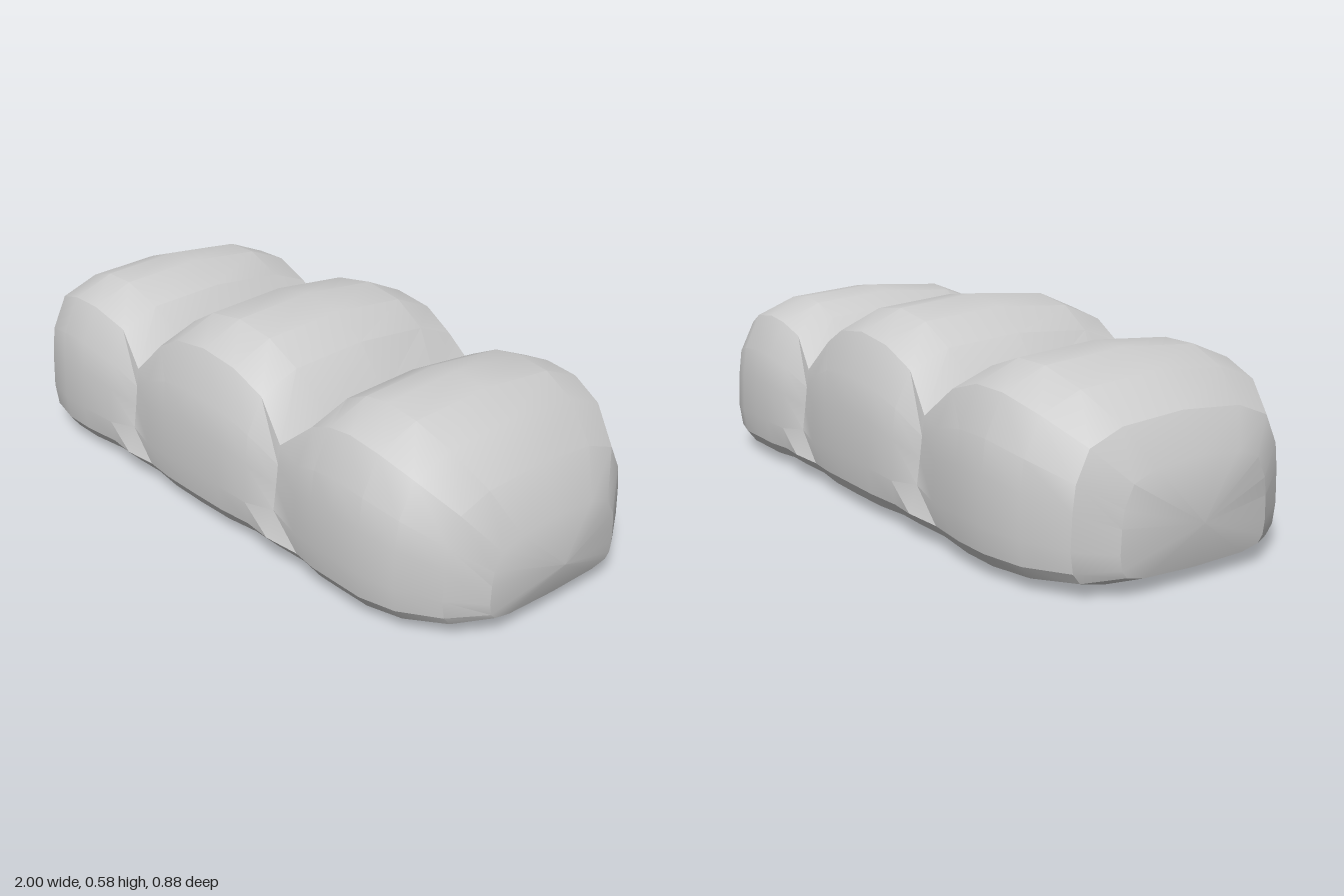
import * as THREE from 'three';
import { toCreasedNormals } from 'three/addons/utils/BufferGeometryUtils.js';

// Half profiles from top centre to bottom centre: [depth, height]
// Rounded-square lobe profile, as fractions of half depth and height
const LOBE = [[0, 1], [0.56, 0.965], [0.85, 0.87], [0.965, 0.67], [0.99, 0.5],
  [1, 0.27], [0.975, 0.13], [0.91, 0.06], [0.68, 0.017], [0, 0]];
// Groove between two lobes, in units, with a small tuft pushed out near the base
const GROOVE = [[0, 0.372], [0.2, 0.36], [0.375, 0.335], [0.383, 0.28], [0.39, 0.22],
  [0.4, 0.15], [0.425, 0.075], [0.385, 0.035], [0.29, 0.01], [0, 0]];

// Stations along the length: x, top, half depth, bottom
const groove = (x) => ({ x, profile: GROOVE });
const lobe = (x, top, depth, bottom = 0.005) => ({
  x, profile: LOBE.map(([z, y]) => [z * depth, bottom + y * (top - bottom)]),
});
const STATIONS = [
  lobe(-1, 0.16, 0, 0.16),
  lobe(-0.97, 0.32, 0.235, 0.04),
  lobe(-0.91, 0.42, 0.335, 0.018),
  lobe(-0.8, 0.495, 0.405),
  lobe(-0.68, 0.535, 0.433, 0),
  lobe(-0.57, 0.535, 0.434, 0),
  lobe(-0.44, 0.488, 0.418),
  groove(-0.335),
  lobe(-0.235, 0.5, 0.42),
  lobe(-0.13, 0.56, 0.434, 0),
  lobe(0, 0.58, 0.438, 0),
  lobe(0.13, 0.56, 0.434, 0),
  lobe(0.235, 0.5, 0.42),
  groove(0.335),
  lobe(0.44, 0.482, 0.418),
  lobe(0.52, 0.52, 0.432, 0),
  lobe(0.6, 0.53, 0.434, 0),
  lobe(0.7, 0.515, 0.433, 0),
  lobe(0.8, 0.468, 0.405),
  lobe(0.9, 0.38, 0.335, 0.018),
  lobe(0.965, 0.26, 0.235, 0.038),
  lobe(1, 0.135, 0, 0.135),
];

// Mirror a half profile into a closed ring at x
function ring({ x, profile }) {
  const back = profile.slice(1, -1).reverse().map(([z, y]) => [-z, y]);
  return [...profile, ...back].map(([z, y]) => [x, y, z]);
}

// Skin the rings; the first and last close to a point
function loft(rings) {
  const pos = [];
  const last = rings.length - 2;
  for (let i = 0; i <= last; i++) {
    const n = rings[i].length;
    for (let j = 0; j < n; j++) {
      const k = (j + 1) % n;
      const a = rings[i][j], b = rings[i][k], c = rings[i + 1][k], d = rings[i + 1][j];
      if (i > 0) pos.push(...a, ...b, ...c);
      if (i < last) pos.push(...a, ...c, ...d);
    }
  }
  const geo = new THREE.BufferGeometry();
  geo.setAttribute('position', new THREE.Float32BufferAttribute(pos, 3));
  return toCreasedNormals(geo, 0.4);
}

export function createModel() {
  const group = new THREE.Group();
  group.name = 'threeLobedLoaf';
  const body = new THREE.Mesh(loft(STATIONS.map(ring)),
    new THREE.MeshStandardMaterial({ color: 0xcccccc }));
  body.name = 'loafBody';
  group.add(body);
  return group;
}
